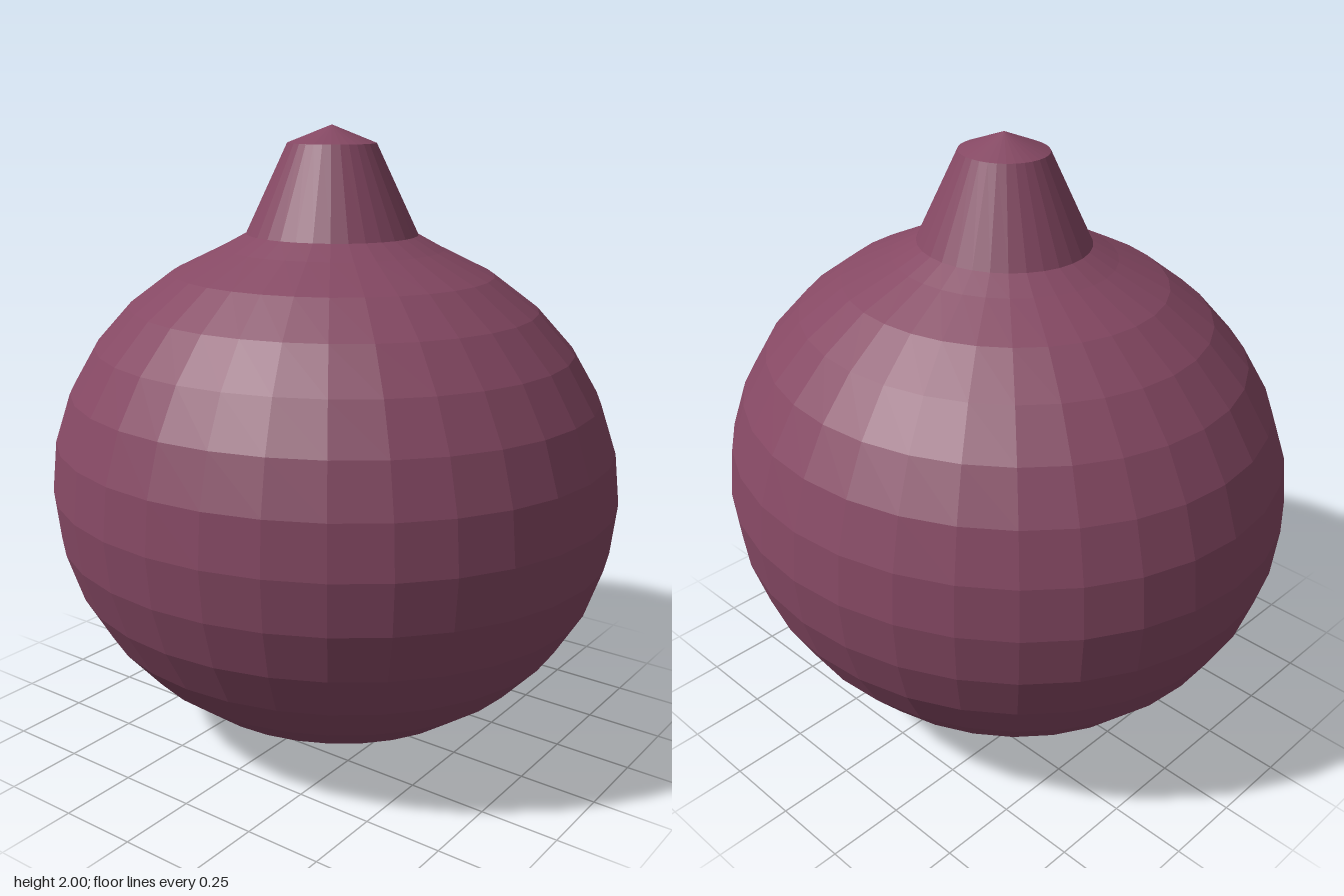
import * as THREE from 'three';

const SEGMENTS = 32;
const DEPTH_RATIO = 0.945 / 0.88; // the plan is slightly longer along z

export function createModel() {
  const group = new THREE.Group();
  const material = new THREE.MeshStandardMaterial({ color: 0x854863, flatShading: true });

  // Revolve a bottom-to-top profile and stretch it into an oval plan
  const addLathe = (name, profile) => {
    const points = profile.map(([r, y]) => new THREE.Vector2(r, y));
    const geometry = new THREE.LatheGeometry(points, SEGMENTS);
    geometry.scale(1, 1, DEPTH_RATIO);
    const mesh = new THREE.Mesh(geometry, material);
    mesh.name = name;
    group.add(mesh);
  };

  // Round bulb: sphere rings up to the shoulder, then the wider neck base
  const bulb = [];
  for (let i = 0; i <= 14; i++) {
    const a = (i / 16) * Math.PI;
    bulb.push([0.88 * Math.sin(a), 0.845 - 0.84 * Math.cos(a)]);
  }
  bulb[0] = [0, 0];
  bulb.push([0.26, 1.665]);
  addLathe('bulb', bulb);

  // Tapered neck
  addLathe('neck', [[0.26, 1.665], [0.133, 1.945]]);

  // Shallow pointed cap
  addLathe('tip', [[0.133, 1.945], [0, 2]]);

  return group;
}
